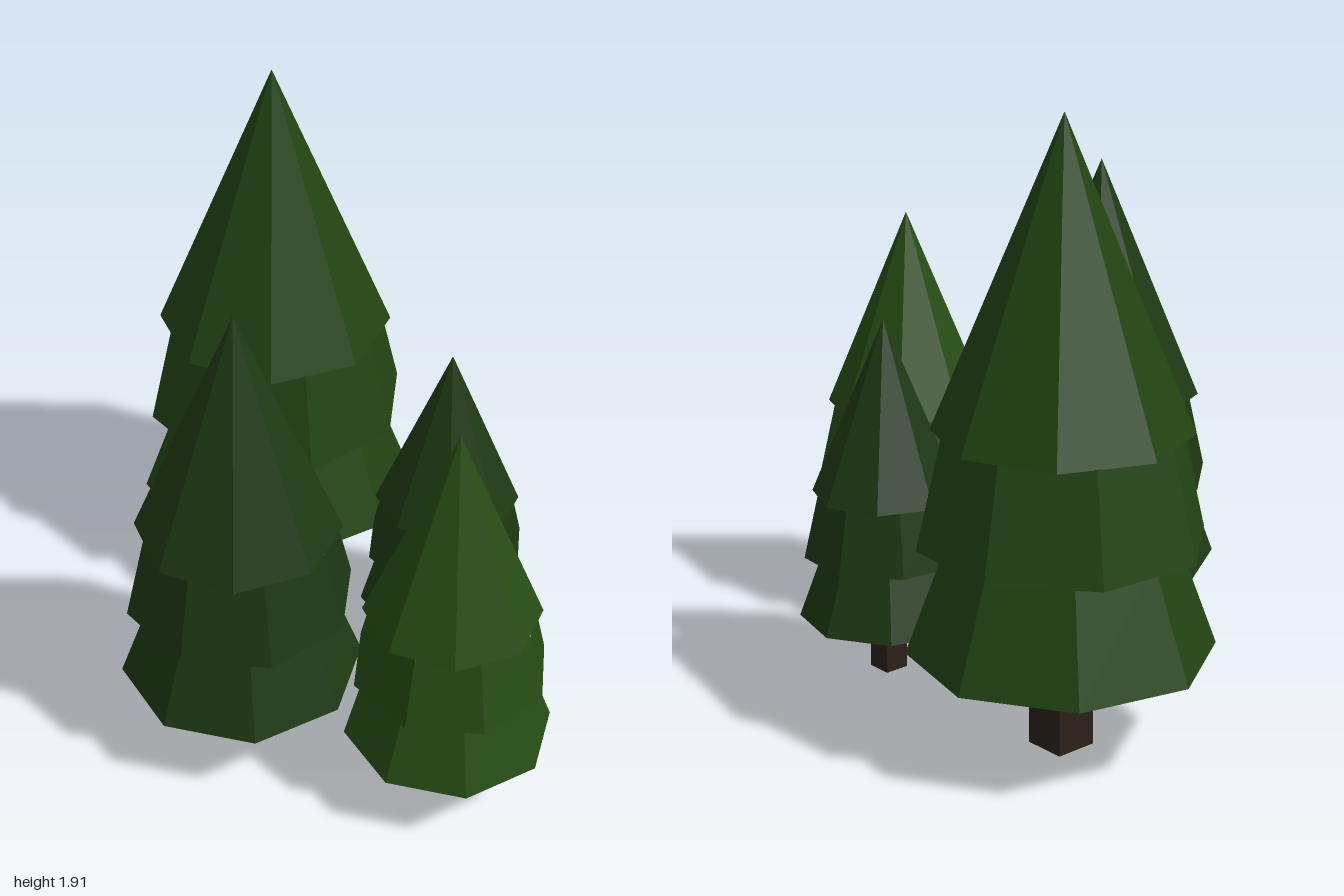
import * as THREE from 'three';

const SIDES = 8;
const PIVOT_Y = 0.05; // every tree is scaled about this height
const TRUNK_TOP = 0.425; // the trunk ends inside the hollow lowest tier

// Foliage tiers at full size: base height, top height, base radius, top radius, twist in degrees
const TIERS = [
  { name: 'lowerFoliage', y0: 0.258, y1: 0.605, r0: 0.4625, r1: 0.335, twist: 8.6 },
  { name: 'middleFoliage', y0: 0.603, y1: 0.932, r0: 0.436, r1: 0.36, twist: 17.7 },
  { name: 'topFoliage', y0: 0.93, y1: 1.858, r0: 0.385, r1: 0, twist: 0 },
];

const TREES = [
  { name: 'tallTree', x: -0.543, z: -0.311, scale: 1, color: 0x224413 },
  { name: 'frontTree', x: 0.036, z: 0.386, scale: 0.836, color: 0x1e3814 },
  { name: 'brightTree', x: 0.672, z: 0.095, scale: 0.71, color: 0x264c14 },
  { name: 'smallTree', x: 0.21, z: -0.37, scale: 0.606, color: 0x1e3814 },
];

const flat = (color, side = THREE.FrontSide) =>
  new THREE.MeshStandardMaterial({ color, flatShading: true, side });

function makeTree({ name, x, z, scale, color }, bark) {
  const tree = new THREE.Group();
  tree.name = name;

  // Square trunk
  const height = TRUNK_TOP + PIVOT_Y;
  const trunk = new THREE.Mesh(new THREE.BoxGeometry(0.136, height, 0.136), bark);
  trunk.name = 'trunk';
  trunk.position.y = TRUNK_TOP - height / 2;
  tree.add(trunk);

  // Stacked, twisted octagonal tiers, open underneath
  const leaves = flat(color, THREE.DoubleSide);
  for (const t of TIERS) {
    const geometry = new THREE.CylinderGeometry(
      t.r1, t.r0, t.y1 - t.y0, SIDES, 1, true, THREE.MathUtils.degToRad(t.twist));
    const tier = new THREE.Mesh(geometry, leaves);
    tier.name = t.name;
    tier.position.y = (t.y0 + t.y1) / 2;
    tree.add(tier);
  }

  tree.position.set(x, PIVOT_Y, z);
  tree.scale.setScalar(scale);
  return tree;
}

export function createModel() {
  const model = new THREE.Group();
  model.name = 'pineGrove';
  const bark = flat(0x2a2018);
  for (const spec of TREES) model.add(makeTree(spec, bark));
  return model;
}
